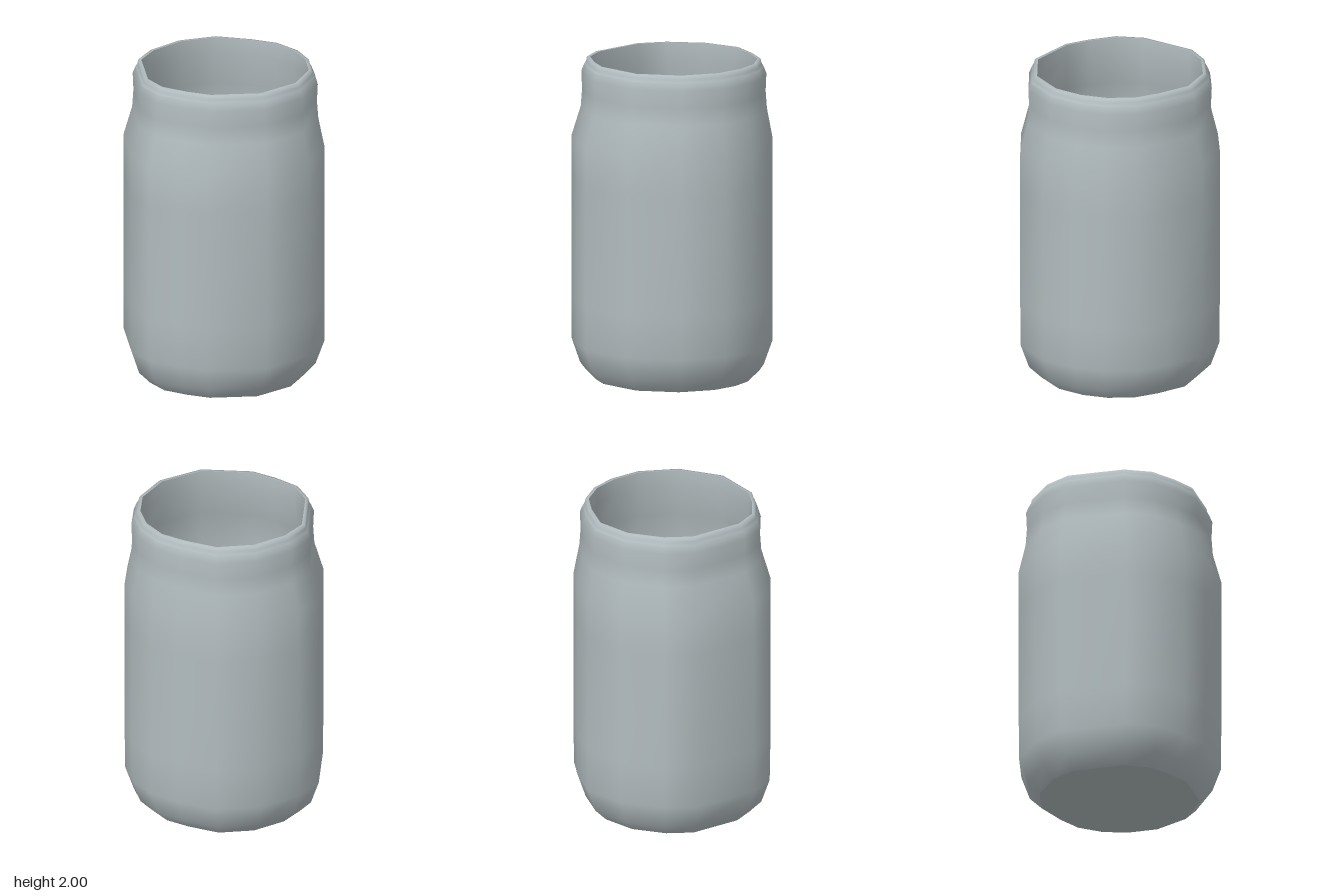
import * as THREE from 'three';

// Slightly irregular plan outline as [x, z] corners, counter-clockwise seen from below
const outline = [
  [0, 0.62], [0.2, 0.56], [0.37, 0.48], [0.6, 0.19], [0.62, -0.15], [0.49, -0.41], [0.31, -0.55],
  [0.12, -0.62], [-0.09, -0.62], [-0.27, -0.54], [-0.49, -0.4], [-0.61, -0.15],
  [-0.61, 0.13], [-0.53, 0.33], [-0.2, 0.58],
];

// Skin stacked copies of the outline; each profile entry is [radius, height]
function loft(profile) {
  const n = outline.length;
  const positions = [];
  const indices = [];
  for (const [radius, y] of profile) {
    const shift = y > 1.6 ? -0.012 : 0; // the neck sits slightly to the back
    for (const [x, z] of outline) {
      positions.push((x * radius) / 0.62, y, (z * radius) / 0.62 + shift);
    }
  }
  for (let j = 0; j < profile.length - 1; j++) {
    for (let i = 0; i < n; i++) {
      const k = (i + 1) % n;
      const a = j * n + i, b = j * n + k, c = b + n, d = a + n;
      indices.push(a, b, c, a, c, d);
    }
  }
  const geometry = new THREE.BufferGeometry();
  geometry.setAttribute('position', new THREE.Float32BufferAttribute(positions, 3));
  geometry.setIndex(indices);
  geometry.computeVertexNormals();
  return geometry;
}

export function createModel() {
  const group = new THREE.Group();
  group.name = 'jar';
  const glass = new THREE.MeshStandardMaterial({ color: 0xb2bcbf });
  glass.name = 'pale grey glass';

  const parts = {
    // flat underside
    base: [[0.001, 0.005], [0.49, 0.005]],
    // rounded heel, straight body, shoulder and neck
    outerWall: [
      [0.49, 0.005], [0.565, 0.08], [0.618, 0.23], [0.62, 0.5], [0.62, 1.25],
      [0.62, 1.5], [0.573, 1.69], [0.565, 1.8], [0.57, 1.91], [0.552, 1.955],
    ],
    // bevelled lip
    rim: [[0.552, 1.955], [0.54, 1.975], [0.535, 2], [0.515, 2]],
    // inside of the jar, from lip down to floor
    innerWall: [
      [0.515, 2], [0.51, 1.9], [0.535, 1.7], [0.59, 1.48], [0.592, 0.9],
      [0.59, 0.26], [0.54, 0.12], [0.46, 0.05],
    ],
    innerFloor: [[0.46, 0.05], [0.001, 0.045]],
  };
  for (const [name, profile] of Object.entries(parts)) {
    const mesh = new THREE.Mesh(loft(profile), glass);
    mesh.name = name;
    group.add(mesh);
  }
  return group;
}
